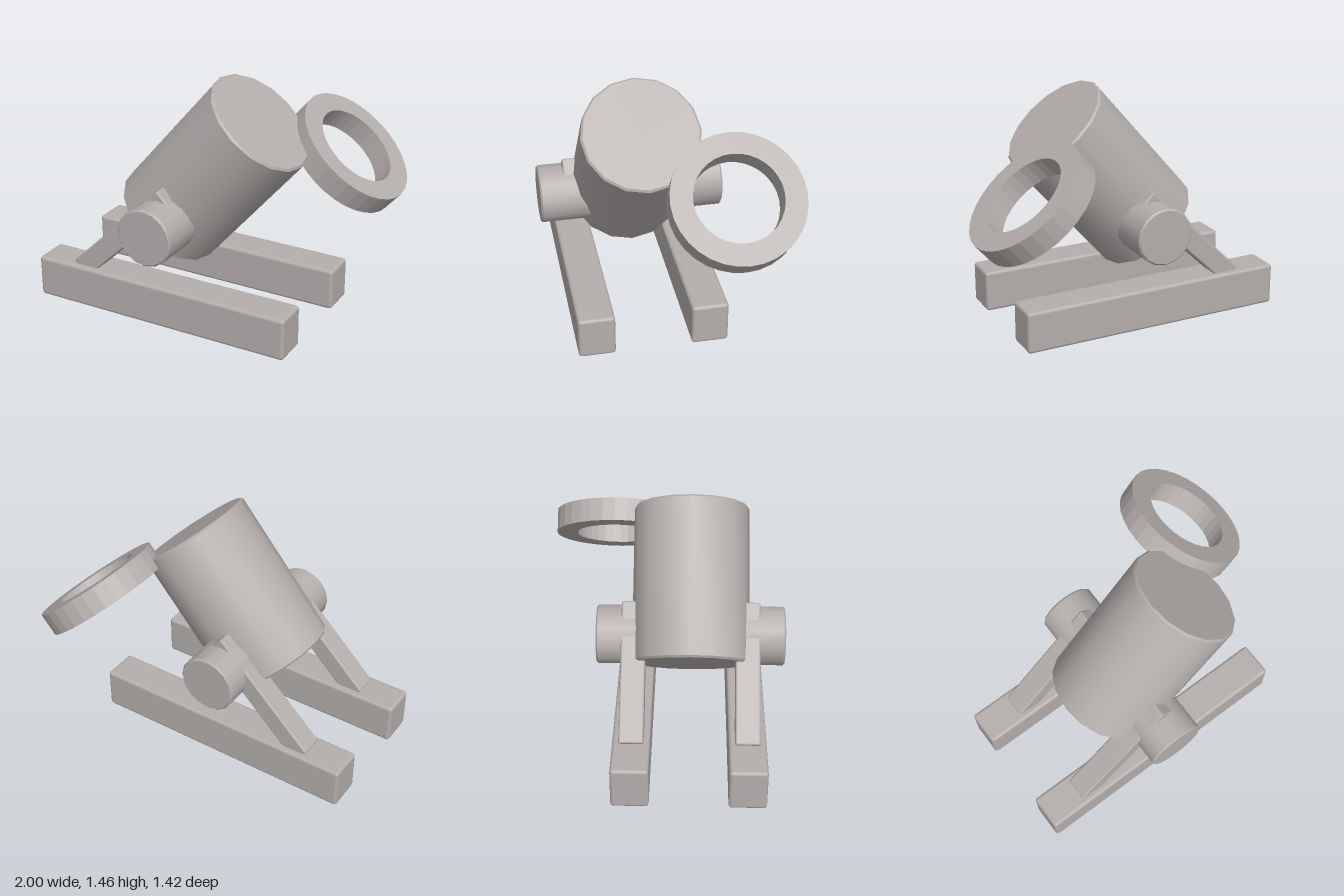
import * as THREE from 'three';
import { toCreasedNormals } from 'three/addons/utils/BufferGeometryUtils.js';
import { RoundedBoxGeometry } from 'three/addons/geometries/RoundedBoxGeometry.js';

const TILT = THREE.MathUtils.degToRad(-40.8); // barrel axis leans towards +x
const MID_Z = 0.153;

// Turned solid around y from [radius, height] pairs
function turned(profile, sides, crease) {
  const points = profile.map(([r, y]) => new THREE.Vector2(r, y));
  return toCreasedNormals(new THREE.LatheGeometry(points, sides), crease);
}

// Closed cylinder with a small chamfer on both rims
function chamferedCylinder(r, length, bevel, sides) {
  const h = length / 2;
  return turned([
    [0, -h], [r - bevel, -h], [r, -h + bevel],
    [r, h - bevel], [r - bevel, h], [0, h],
  ], sides, 0.6);
}

export function createModel() {
  const model = new THREE.Group();
  model.name = 'mortar';
  const iron = new THREE.MeshStandardMaterial({ color: 0xb4aeac });
  iron.name = 'warm grey';

  const add = (name, geometry, x, y, z) => {
    const mesh = new THREE.Mesh(geometry, iron);
    mesh.name = name;
    mesh.position.set(x, y, z);
    model.add(mesh);
    return mesh;
  };

  // Solid tilted barrel
  add('barrel', chamferedCylinder(0.348, 0.95, 0.012, 16), -0.003, 0.885, MID_Z)
    .rotation.z = TILT;

  // Cross pin through the barrel
  add('trunnion', chamferedCylinder(0.178, 1.12, 0.01, 16), -0.16, 0.628, MID_Z)
    .rotation.x = Math.PI / 2;

  // Ring beside the muzzle, with a faceted rim
  const h = 0.071;
  const ring = turned(
    [[0.26, -h], [0.39, -h], [0.39, h], [0.26, h], [0.26, -h]], 32, 0.1);
  add('muzzleRing', ring, 0.654, 0.95, -0.322).rotation.z = TILT;

  // Base beam and slanted strut on each side
  for (const [side, s] of [['front', 1], ['back', -1]]) {
    add(side + 'Beam', new RoundedBoxGeometry(1.68, 0.26, 0.22, 2, 0.02),
      -0.16, 0.13, MID_Z + s * 0.337);
    add(side + 'Strut', new RoundedBoxGeometry(0.845, 0.13, 0.145, 2, 0.012),
      -0.416, 0.522, MID_Z + s * 0.337).rotation.z = THREE.MathUtils.degToRad(44.2);
  }
  return model;
}
